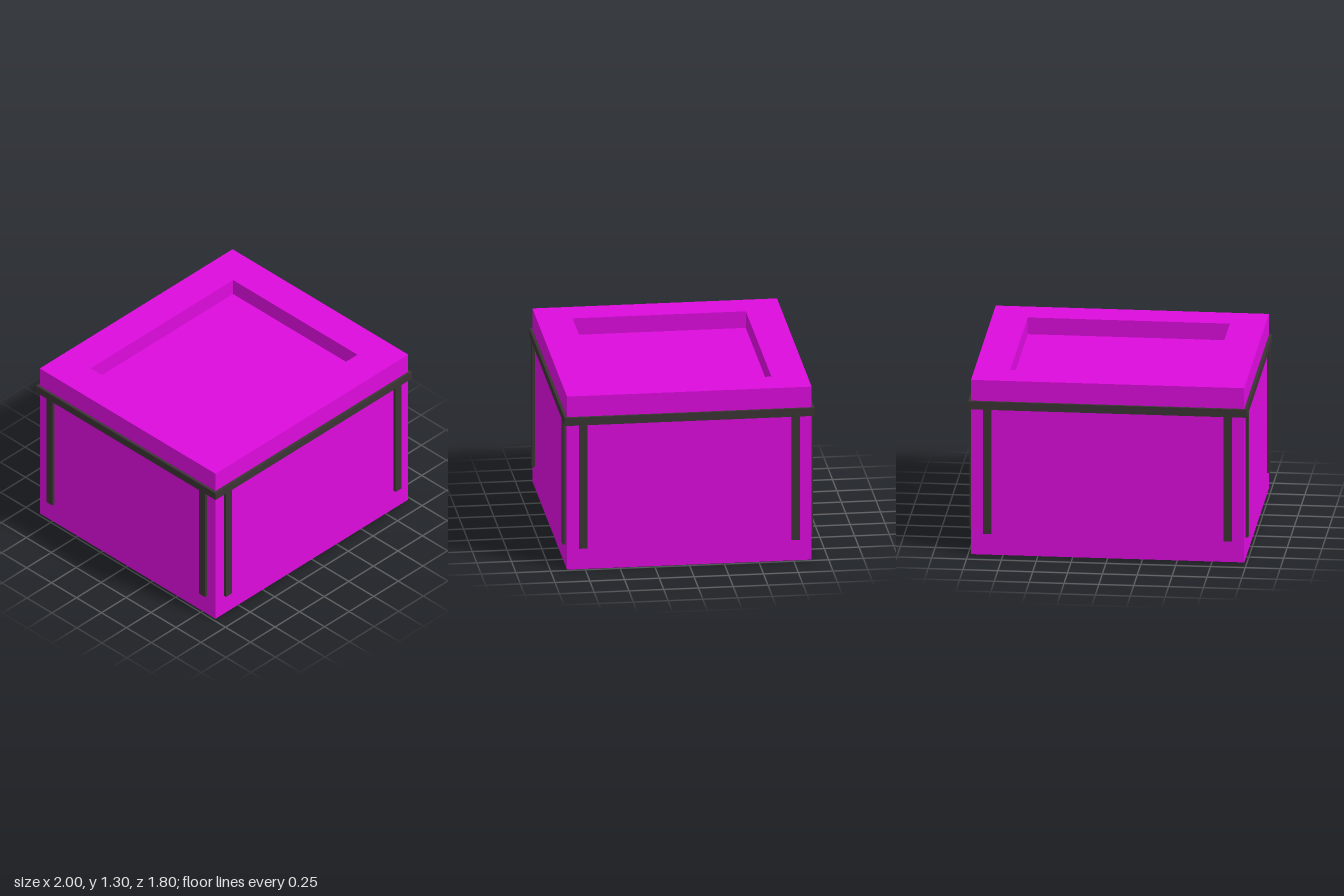
import * as THREE from 'three';

const paint = new THREE.MeshStandardMaterial({ color: 0xdd0bdd, flatShading: true });
const trim = new THREE.MeshStandardMaterial({ color: 0x3b3434, flatShading: true });

// Stacks rectangular rings [halfX, y, halfZ] into a closed shell
function shellFromRings(rings) {
  const corners = rings.map(([x, y, z]) => [[-x, y, z], [x, y, z], [x, y, -z], [-x, y, -z]]);
  const positions = [];
  const quad = (a, b, c, d) => positions.push(...a, ...b, ...c, ...a, ...c, ...d);
  for (let r = 0; r < corners.length - 1; r++) {
    for (let i = 0; i < 4; i++) {
      const j = (i + 1) % 4;
      quad(corners[r][i], corners[r][j], corners[r + 1][j], corners[r + 1][i]);
    }
  }
  quad(...corners[0].slice().reverse());
  quad(...corners[corners.length - 1]);
  const geometry = new THREE.BufferGeometry();
  geometry.setAttribute('position', new THREE.Float32BufferAttribute(positions, 3));
  geometry.computeVertexNormals();
  return geometry;
}

function addBox(parent, name, size, position) {
  const mesh = new THREE.Mesh(new THREE.BoxGeometry(...size), trim);
  mesh.name = name;
  mesh.position.set(...position);
  parent.add(mesh);
}

export function createModel() {
  const model = new THREE.Group();
  model.name = 'recessedPlanterBox';

  const bodyX = 0.98, bodyZ = 0.88, t = 0.02;
  const height = 1.305, floorY = 1.18;

  // Solid body with a shallow rectangular recess in the top
  const body = new THREE.Mesh(shellFromRings([
    [bodyX, 0, bodyZ],
    [bodyX, height, bodyZ],
    [0.725, height, 0.623],
    [0.725, floorY, 0.623],
  ]), paint);
  body.name = 'body';
  model.add(body);

  // Band wrapped around the body as one mitre-free frame
  const rectangle = (path, x, z) =>
    path.moveTo(-x, -z).lineTo(x, -z).lineTo(x, z).lineTo(-x, z).closePath();
  const outline = rectangle(new THREE.Shape(), bodyX + t, bodyZ + t);
  outline.holes.push(rectangle(new THREE.Path(), bodyX, bodyZ));
  const bandGeometry = new THREE.ExtrudeGeometry(outline, { depth: 0.06, bevelEnabled: false });
  bandGeometry.rotateX(-Math.PI / 2).translate(0, 1.09, 0);
  const band = new THREE.Mesh(bandGeometry, trim);
  band.name = 'band';
  model.add(band);

  // Two upright strips hanging below the band on every side
  const bottom = 0.16, top = 1.09, w = 0.06;
  const h = top - bottom, y = (top + bottom) / 2;
  const strips = new THREE.Group();
  strips.name = 'uprightStrips';
  for (const sx of [-1, 1]) {
    for (const sz of [-1, 1]) {
      addBox(strips, sz > 0 ? 'frontStrip' : 'backStrip', [w, h, t],
        [sx * 0.863, y, sz * (bodyZ + t / 2)]);
      addBox(strips, sx > 0 ? 'leftStrip' : 'rightStrip', [t, h, w],
        [sx * (bodyX + t / 2), y, sz * 0.765]);
    }
  }
  model.add(strips);

  return model;
}
